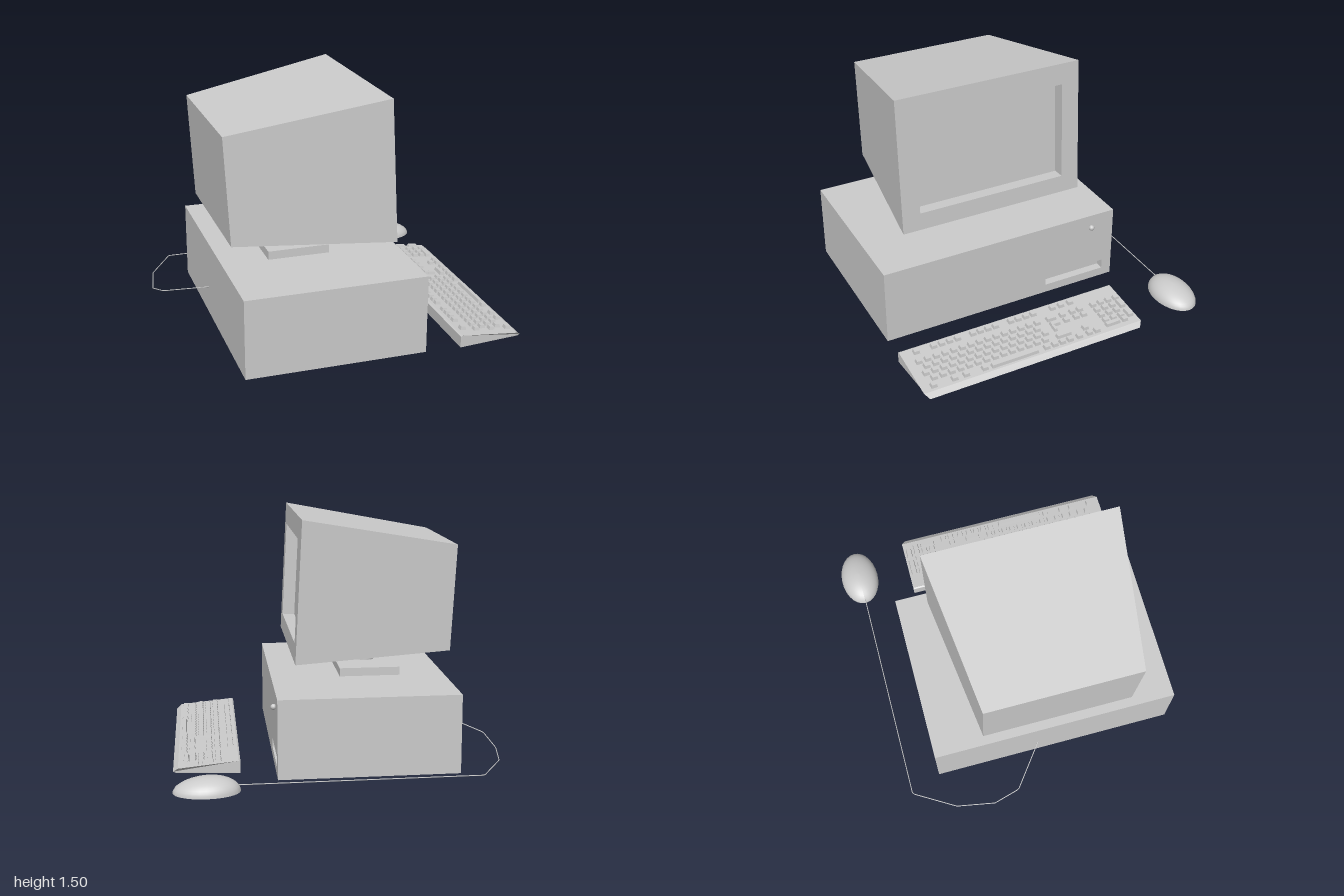
import * as THREE from 'three';
import { mergeGeometries } from 'three/addons/utils/BufferGeometryUtils.js';

const grey = new THREE.MeshStandardMaterial({ color: 0xcccccc });
const faceted = new THREE.MeshStandardMaterial({ color: 0xcccccc, flatShading: true });

function add(parent, name, geometry, material = grey, x = 0, y = 0, z = 0) {
  const mesh = new THREE.Mesh(geometry, material);
  mesh.name = name;
  mesh.position.set(x, y, z);
  parent.add(mesh);
  return mesh;
}

// Rectangle facing +x; xAt gives x for a height, so the face may lean
function rect(xAt, y0, y1, z0, z1) {
  return [[z1, y0], [z0, y0], [z0, y1], [z1, y1]].map(([z, y]) => [xAt(y), y, z]);
}

// Closed shell through four-cornered loops, from back cap to front cap
function loft(loops) {
  const pos = [];
  const quad = (a, b, c, d) => pos.push(...a, ...b, ...c, ...a, ...c, ...d);
  const first = loops[0], last = loops[loops.length - 1];
  quad(first[3], first[2], first[1], first[0]);
  for (let k = 0; k + 1 < loops.length; k++) {
    for (let i = 0; i < 4; i++) {
      const j = (i + 1) % 4;
      quad(loops[k][i], loops[k][j], loops[k + 1][j], loops[k + 1][i]);
    }
  }
  quad(...last);
  const g = new THREE.BufferGeometry();
  g.setAttribute('position', new THREE.Float32BufferAttribute(pos, 3));
  g.computeVertexNormals();
  return g;
}

// Prism with slightly smaller top, standing on y = 0
function keyGeometry(wx, wz) {
  const g = new THREE.BoxGeometry(wx, 0.024, wz);
  const p = g.attributes.position;
  for (let i = 0; i < p.count; i++) {
    if (p.getY(i) > 0) {
      p.setX(i, p.getX(i) - Math.sign(p.getX(i)) * 0.005);
      p.setZ(i, p.getZ(i) - Math.sign(p.getZ(i)) * 0.005);
    }
  }
  return g.translate(0, 0.008, 0);
}

function buildKeyboard() {
  const keyboard = new THREE.Group();
  keyboard.name = 'keyboard';

  // Wedge body, profile in x and y run along z
  const profile = new THREE.Shape([
    [0.6, 0.005], [0.985, 0.012], [1, 0.02], [0.97, 0.045], [0.61, 0.08], [0.6, 0.074],
  ].map(([x, y]) => new THREE.Vector2(x, y)));
  const body = new THREE.ExtrudeGeometry(profile, { depth: 1.455, bevelEnabled: false });
  // Clip the two front corners
  const bp = body.attributes.position;
  for (let i = 0; i < bp.count; i++) {
    if (bp.getX(i) > 0.98) bp.setZ(i, bp.getZ(i) > 0.7 ? 1.43 : 0.025);
  }
  add(keyboard, 'keyboardBody', body.translate(0, 0, -0.495), faceted);

  const keys = [];
  const slope = 0.097;
  const key = (x, z, wx = 0.038, wz = 0.04) => keys.push(
    keyGeometry(wx, wz).rotateZ(-slope).translate(x, 0.08 - (x - 0.61) * slope, z));
  const rows = [0.73, 0.78, 0.83, 0.88];

  // Function row
  for (const z of [0.866, 0.754, 0.702, 0.65, 0.598, 0.497, 0.447, 0.396, 0.345,
    0.24, 0.19, 0.137, 0.086, -0.05, -0.11, -0.175]) key(0.65, z);
  // Main block
  rows.forEach((x, r) => {
    for (let i = 0; i < 15 - r % 2; i++) key(x, 0.885 - (r % 2) * 0.028 - i * 0.056);
  });
  key(0.73, 0.005, 0.038, 0.065);
  key(0.78, 0.005, 0.038, 0.065);
  key(0.815, 0.028, 0.05, 0.025);
  key(0.885, 0.005, 0.035, 0.1);
  // Bottom row with space bar
  for (const z of [0.885, 0.754, 0.68, 0.56, 0.15, 0.095, 0.043, -0.01]) key(0.935, z);
  key(0.94, 0.365, 0.034, 0.31);
  // Editing and arrow keys
  for (const z of [-0.198, -0.145, -0.075]) {
    key(0.73, z);
    key(0.78, z);
    key(0.935, z);
  }
  key(0.885, -0.145);
  // Number pad
  for (const x of rows) for (const z of [-0.405, -0.35, -0.295]) key(x, z);
  key(0.73, -0.46);
  key(0.79, -0.46, 0.07, 0.04);
  key(0.88, -0.46, 0.07, 0.04);
  key(0.92, -0.405);
  key(0.92, -0.32, 0.034, 0.1);
  add(keyboard, 'keys', mergeGeometries(keys), faceted);
  return keyboard;
}

function buildMouse() {
  const mouse = new THREE.Group();
  mouse.name = 'mouse';
  mouse.position.set(0.803, 0.02, -0.843);

  // Half ellipsoid, fuller at the cable end
  const shell = new THREE.SphereGeometry(1, 28, 10, 0, Math.PI * 2, 0, Math.PI / 2);
  const p = shell.attributes.position;
  for (let i = 0; i < p.count; i++) {
    const x = p.getX(i);
    p.setXYZ(i, x * 0.192, p.getY(i) * 0.09 * (1 - 0.12 * x), p.getZ(i) * 0.127);
  }
  shell.computeVertexNormals();
  add(mouse, 'mouseShell', shell);
  const base = new THREE.CircleGeometry(1, 28).rotateX(Math.PI / 2).scale(0.192, 1, 0.127);
  add(mouse, 'mouseBase', base);
  return mouse;
}

export function createModel() {
  const model = new THREE.Group();
  model.name = 'desktopComputer';

  // Case with a recessed drive slot
  const slot = x => rect(() => x, 0.055, 0.118, -0.573, -0.153);
  add(model, 'case', loft([
    rect(() => -0.705, 0, 0.483, -0.64, 0.94),
    rect(() => 0.388, 0, 0.483, -0.64, 0.94),
    slot(0.388), slot(0.335),
  ]));
  add(model, 'powerButton', new THREE.SphereGeometry(0.018, 12, 8), grey, 0.4, 0.4, -0.475);

  // Monitor stand
  add(model, 'standBase', new THREE.BoxGeometry(0.38, 0.052, 0.535), grey, -0.232, 0.509, 0.158);
  add(model, 'standNeck', new THREE.CylinderGeometry(0.058, 0.058, 0.14, 24), grey, -0.235, 0.6, 0.158);

  // Monitor housing, tapering to the back, with a sunken screen
  const lean = 0.0523, depth = 0.08;
  const frontX = y => 0.265 - (y - 0.64) * lean;
  const backX = y => -0.695 - (y - 0.68) * 0.054;
  const opening = rect(frontX, 0.75, 1.367, -0.325, 0.64);
  const screen = opening.map(([x, y, z]) => [x - depth, y - depth * lean, z]);
  add(model, 'monitor', loft([
    rect(backX, 0.68, 1.33, -0.32, 0.635),
    rect(frontX, 0.64, 1.5, -0.44, 0.755),
    opening, screen,
  ]));

  model.add(buildKeyboard(), buildMouse());

  // Mouse cable, straight segments round the back of the case
  const cable = new THREE.CurvePath();
  const pts = [
    [0.63, 0.052, -0.84], [-0.797, 0.052, -0.84], [-0.953, 0.052, -0.578],
    [-0.998, 0.052, -0.33], [-0.96, 0.102, -0.16], [-0.7, 0.183, 0.045],
  ].map(p => new THREE.Vector3(...p));
  for (let i = 0; i + 1 < pts.length; i++) cable.add(new THREE.LineCurve3(pts[i], pts[i + 1]));
  add(model, 'mouseCable', new THREE.TubeGeometry(cable, 120, 0.003, 6));

  return model;
}
